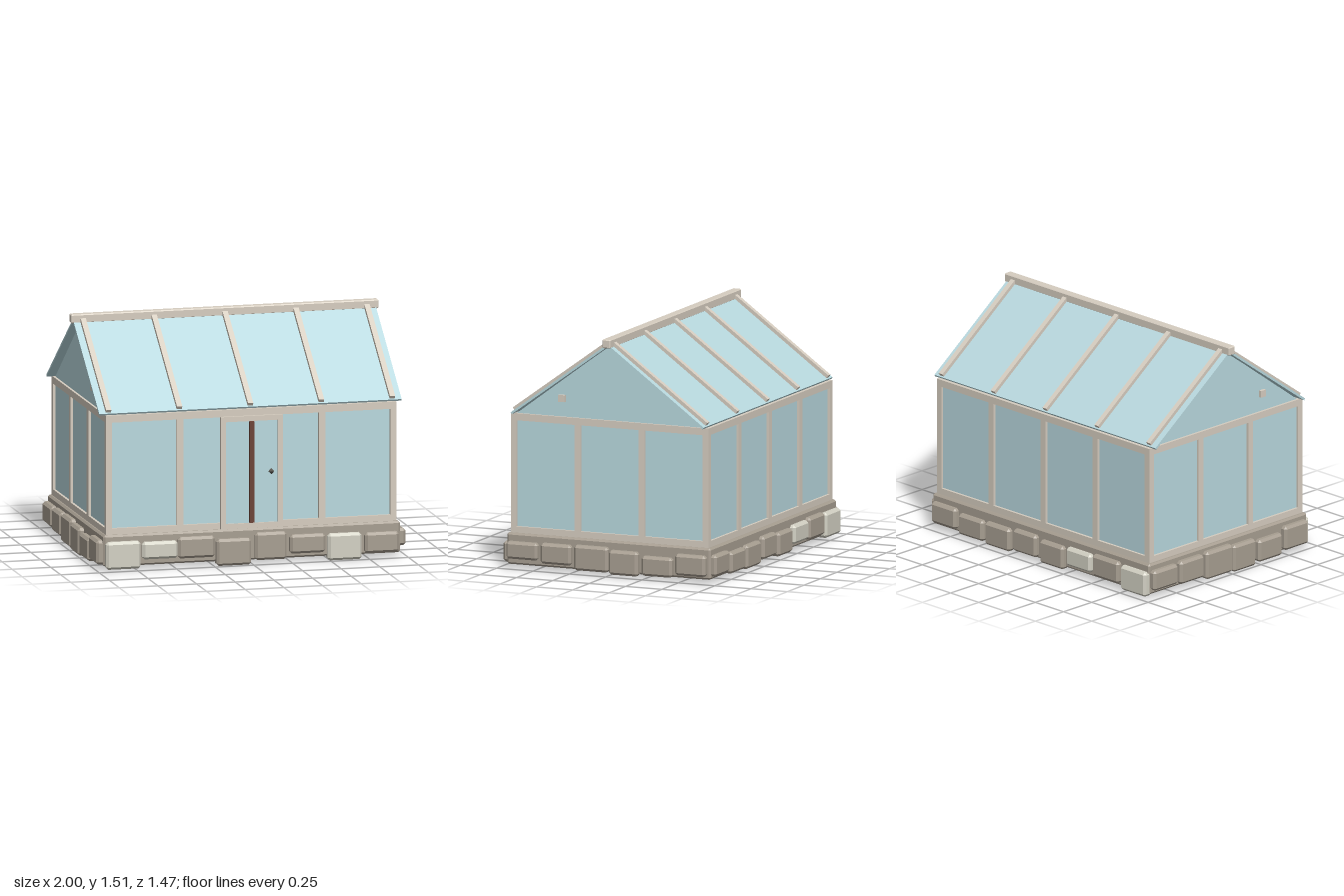
import * as THREE from 'three';
import { ConvexGeometry } from 'three/addons/geometries/ConvexGeometry.js';

const mat = (name, color, extra = {}) => Object.assign(new THREE.MeshStandardMaterial({ color, ...extra }), { name });

export function createModel() {
  const model = new THREE.Group();
  model.name = 'greenhouse';
  const frame = mat('paintedFrame', 0xd6cdc0);
  const glass = mat('glass', 0xb8d8de);
  const stone = mat('darkStone', 0xa79e91);
  const paleStone = mat('paleStone', 0xd2d0c3);
  const wood = mat('redWood', 0x6b4034);
  const metal = mat('darkMetal', 0x5a5852);

  const add = (parent, name, geo, material, x = 0, y = 0, z = 0) => {
    const m = new THREE.Mesh(geo, material);
    m.name = name;
    m.position.set(x, y, z);
    parent.add(m);
    return m;
  };
  const box = (w, h, d) => new THREE.BoxGeometry(w, h, d);

  // Box with every edge chamfered by b
  const chamferBox = (w, h, d, b) => {
    const pts = [];
    for (const sx of [-1, 1]) for (const sy of [-1, 1]) for (const sz of [-1, 1]) {
      const x = w / 2, y = h / 2, z = d / 2;
      pts.push(new THREE.Vector3(sx * x, sy * (y - b), sz * (z - b)));
      pts.push(new THREE.Vector3(sx * (x - b), sy * y, sz * (z - b)));
      pts.push(new THREE.Vector3(sx * (x - b), sy * (y - b), sz * z));
    }
    return new ConvexGeometry(pts);
  };

  // Foundation core
  add(model, 'foundation', chamferBox(1.92, 0.2, 1.4, 0.012), stone, 0, 0.13, 0);

  // Stones along one side: [from, to, bottom, top, pale]; outer face lies at +z of the turned group
  const stoneRow = (name, turn, face, rows) => {
    const g = new THREE.Group();
    g.name = name;
    g.rotation.y = turn;
    for (const [a, b, y0, y1, pale] of rows)
      add(g, 'stone', chamferBox(b - a, y1 - y0, 0.07, 0.016), pale ? paleStone : stone, (a + b) / 2, (y0 + y1) / 2, face - 0.035);
    model.add(g);
  };
  stoneRow('frontStones', 0, 0.735, [
    [-0.95, -0.725, 0.015, 0.19, 1], [-0.715, -0.485, 0.07, 0.18, 1], [-0.485, -0.245, 0.065, 0.2],
    [-0.235, -0.01, 0.005, 0.175], [0.015, 0.22, 0.03, 0.205], [0.24, 0.47, 0.06, 0.18],
    [0.485, 0.705, 0.005, 0.175, 1], [0.725, 0.945, 0.04, 0.17]]);
  stoneRow('backStones', Math.PI, 0.735, [
    [-0.945, -0.725, 0.05, 0.185], [-0.705, -0.485, 0.03, 0.165], [-0.47, -0.25, 0.02, 0.17],
    [-0.22, -0.015, 0.04, 0.185], [0.015, 0.225, 0.02, 0.17], [0.25, 0.47, 0.06, 0.18, 1],
    [0.48, 0.715, 0.05, 0.19], [0.73, 0.955, 0.02, 0.18, 1]]);
  const endRow = [
    [-0.69, -0.475, 0.07, 0.18], [-0.455, -0.245, 0.055, 0.185], [-0.225, 0.01, 0.03, 0.19],
    [0.015, 0.215, 0.02, 0.175], [0.24, 0.45, 0.03, 0.155], [0.47, 0.68, 0.05, 0.185]];
  stoneRow('leftStones', Math.PI / 2, 1, endRow);
  stoneRow('rightStones', -Math.PI / 2, 1, endRow.map(([a, b, y0, y1]) => [a, b, y0 - 0.01, y1 + 0.01]));

  // Flat frame with rectangular openings [x0, x1, y0, y1]
  const rect = (path, x0, x1, y0, y1) =>
    path.moveTo(x0, y0).lineTo(x1, y0).lineTo(x1, y1).lineTo(x0, y1).closePath();
  const frameGeo = (outer, holes, depth) => {
    const s = new THREE.Shape();
    rect(s, ...outer);
    for (const h of holes) {
      const p = new THREE.Path();
      rect(p, ...h);
      s.holes.push(p);
    }
    return new THREE.ExtrudeGeometry(s, { depth, bevelEnabled: false });
  };

  // Walls: frame with recessed panes
  const wall = (name, turn, half, face, spans) => {
    const g = new THREE.Group();
    g.name = name;
    g.rotation.y = turn;
    add(g, 'wallFrame', frameGeo([-half, half, 0.225, 0.99], spans.map(([a, b]) => [a, b, 0.27, 0.945]), 0.04), frame, 0, 0, face - 0.04);
    add(g, 'panes', box(half * 2 - 0.04, 0.72, 0.008), glass, 0, 0.61, face - 0.02);
    model.add(g);
  };
  const longSpans = [[-0.9, -0.482], [-0.438, -0.022], [0.022, 0.438], [0.482, 0.9]];
  const frontSpans = [[-0.9, -0.482], [-0.438, -0.18], [0.18, 0.438], [0.482, 0.9]];
  const endSpans = [[-0.64, -0.242], [-0.2, 0.2], [0.24, 0.64]];
  wall('frontWall', 0, 0.94, 0.68, frontSpans);
  wall('backWall', Math.PI, 0.94, 0.68, longSpans);
  wall('leftWall', Math.PI / 2, 0.679, 0.94, endSpans);
  wall('rightWall', -Math.PI / 2, 0.679, 0.94, endSpans);

  // Door with central bar and knob
  const door = new THREE.Group();
  door.name = 'door';
  add(door, 'doorFrame', frameGeo([-0.2, 0.2, 0.232, 0.948], [[-0.168, 0.168, 0.265, 0.915]], 0.025), frame, 0, 0, 0.672);
  add(door, 'doorPane', box(0.36, 0.67, 0.008), glass, 0, 0.59, 0.684);
  add(door, 'doorBar', box(0.03, 0.645, 0.03), wood, 0, 0.59, 0.693);
  add(door, 'doorKnob', new THREE.OctahedronGeometry(0.02), metal, 0.125, 0.59, 0.702);
  model.add(door);

  // Gable panes and the purlin running through both
  const tri = new THREE.Shape().moveTo(-0.65, 0.985).lineTo(0.65, 0.985).lineTo(0, 1.468).closePath();
  for (const s of [-1, 1]) {
    const gable = add(model, 'gablePane', new THREE.ExtrudeGeometry(tri, { depth: 0.01, bevelEnabled: false }), glass, s * 0.915, 0, 0);
    gable.rotation.y = s * Math.PI / 2;
  }
  add(model, 'purlin', box(1.89, 0.044, 0.044), frame, 0, 1.107, 0.33);

  // Roof slopes with rafters
  for (const turn of [0, Math.PI]) {
    const side = new THREE.Group();
    side.name = turn ? 'backRoof' : 'frontRoof';
    side.rotation.y = turn;
    const slope = new THREE.Group();
    slope.name = 'slope';
    slope.position.y = 1.465;
    slope.rotation.x = Math.atan2(0.475, 0.655);
    add(slope, 'roofPane', box(1.956, 0.014, 0.81), glass, 0, 0.007, 0.405);
    for (let i = -2; i <= 2; i++)
      add(slope, 'rafter', box(0.034, 0.024, 0.8), frame, i * 0.459, 0.024, 0.4);
    side.add(slope);
    model.add(side);
  }

  // Ridge beam
  add(model, 'ridgeBeam', chamferBox(1.99, 0.056, 0.056, 0.006), frame, 0, 1.486, 0);
  return model;
}
